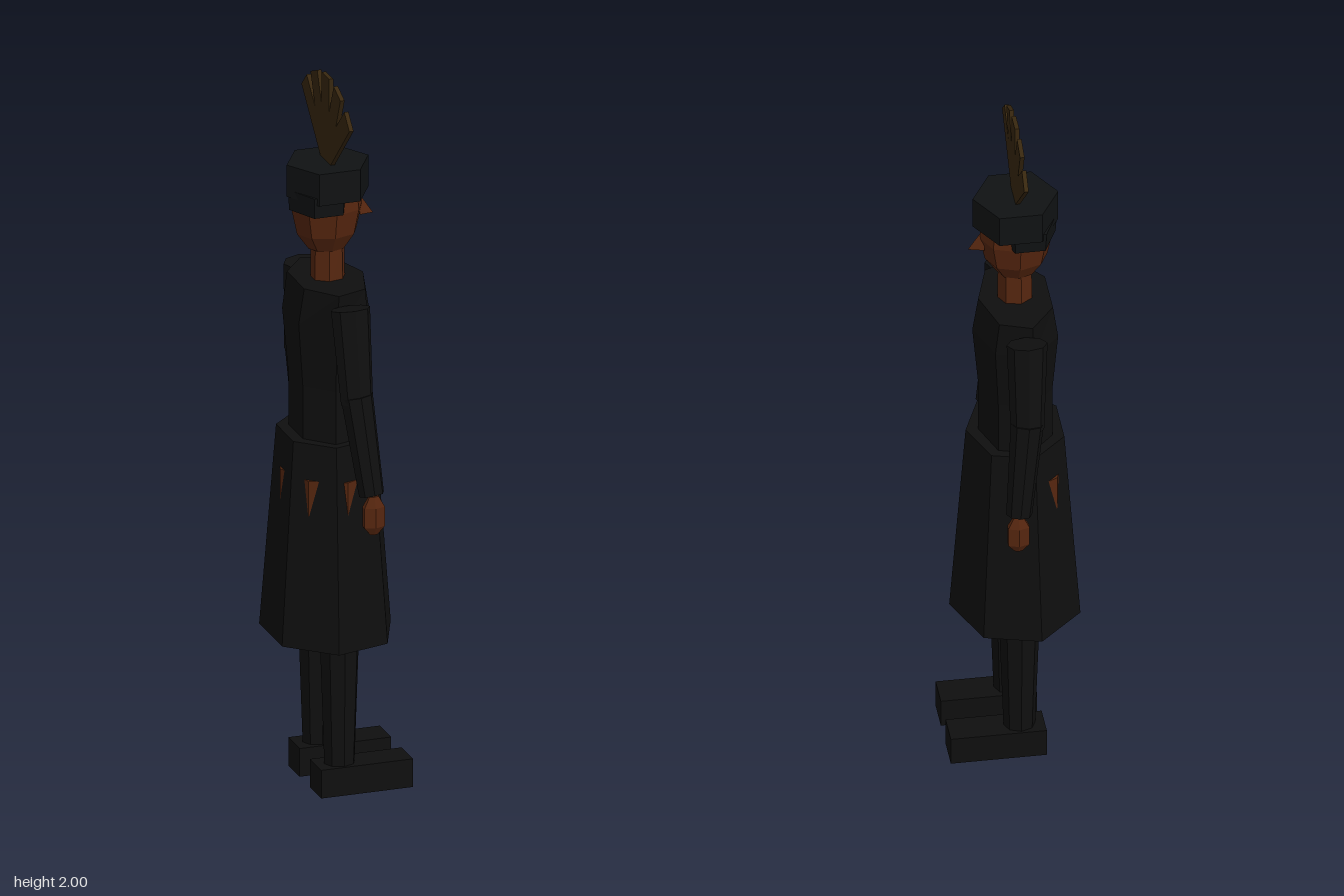
import * as THREE from 'three';

const mat = (name, color) => {
  const m = new THREE.MeshStandardMaterial({ color, flatShading: true });
  m.name = name;
  return m;
};

export function createModel() {
  const group = new THREE.Group();
  const black = mat('blackCloth', 0x0f0f0f);
  const hatBlack = mat('hatBlack', 0x101213);
  const skin = mat('skin', 0x56260f);
  const plume = mat('plumeBrown', 0x38270f);
  const CX = -0.018;

  const add = (name, geo, material, x = 0, y = 0, z = 0) => {
    const m = new THREE.Mesh(geo, material);
    m.name = name;
    m.position.set(x, y, z);
    group.add(m);
    return m;
  };

  // Upright prism from y0 to y1 with a corner towards +x; a and b are the x and z radii
  const prism = (name, material, sides, y0, y1, [a0, b0], [a1, b1], x = CX, z = 0) => {
    const g = new THREE.CylinderGeometry(1, 1, y1 - y0, sides, 1, false, Math.PI / 2);
    const p = g.attributes.position;
    for (let i = 0; i < p.count; i++) {
      const top = p.getY(i) > 0;
      p.setX(i, p.getX(i) * (top ? a1 : a0));
      p.setZ(i, p.getZ(i) * (top ? b1 : b0));
    }
    g.computeVertexNormals();
    return add(name, g, material, x, (y0 + y1) / 2, z);
  };

  // Tapered limb between two points, wider along x than z
  const limb = (name, from, to, r0, r1, flat) => {
    const a = new THREE.Vector3(...from), b = new THREE.Vector3(...to);
    const dir = a.clone().sub(b);
    const g = new THREE.CylinderGeometry(r0, r1, dir.length(), 8);
    g.scale(1, 1, flat);
    const m = add(name, g, black);
    m.position.copy(a).add(b).multiplyScalar(0.5);
    m.quaternion.setFromUnitVectors(new THREE.Vector3(0, 1, 0), dir.normalize());
  };

  // Coat
  prism('coatSkirt', black, 7, 0.43, 1.0, [0.178, 0.21], [0.134, 0.159]);
  prism('coatWaist', black, 7, 0.98, 1.15, [0.1, 0.133], [0.1, 0.133]);
  prism('coatChest', black, 7, 1.15, 1.33, [0.1, 0.133], [0.116, 0.152]);
  prism('coatShoulders', black, 7, 1.33, 1.43, [0.116, 0.152], [0.1, 0.159]);
  // Inner layer whose corners show through the skirt
  prism('hips', skin, 8, 0.8, 0.9, [0.134, 0.163], [0.134, 0.163]);

  // Legs, shoes, arms and hands
  for (const s of [1, -1]) {
    prism('leg', black, 8, 0.06, 0.46, [0.042, 0.038], [0.056, 0.047], -0.015, s * 0.086);
    add('shoe', new THREE.BoxGeometry(0.258, 0.08, 0.09), black, 0.047, 0.04, s * 0.086);
    limb('upperArm', [-0.02, 1.405, s * 0.188], [-0.015, 1.15, s * 0.226], 0.055, 0.045, 0.7);
    limb('forearm', [-0.015, 1.17, s * 0.224], [0.013, 0.9, s * 0.262], 0.045, 0.035, 0.82);
    const hand = new THREE.LatheGeometry(
      [[0, -0.055], [0.012, -0.053], [0.033, -0.03], [0.033, 0.025], [0.015, 0.055], [0, 0.055]]
        .map(([r, y]) => new THREE.Vector2(r, y)), 6);
    hand.scale(1, 1, 0.55);
    add('hand', hand, skin, 0.016, 0.842, s * 0.27);
  }

  // Neck and head
  prism('neck', skin, 7, 1.4, 1.54, [0.048, 0.043], [0.046, 0.041], -0.017);
  const head = new THREE.LatheGeometry(
    [[0, 1.51], [0.052, 1.515], [0.084, 1.56], [0.099, 1.63], [0.092, 1.7], [0, 1.73]]
      .map(([r, y]) => new THREE.Vector2(r, y)), 8);
  head.scale(1, 1, 0.82);
  add('head', head, skin, -0.02);

  // Nose: a small wedge with its tip forwards and down
  const t = [0.06, 1.67, 0], l = [0.068, 1.6, 0.018], r = [0.068, 1.6, -0.018], n = [0.11, 1.595, 0];
  const nose = new THREE.BufferGeometry();
  nose.setAttribute('position', new THREE.Float32BufferAttribute(
    [t, l, n, t, n, r, l, r, n, t, r, l].flat(), 3));
  nose.computeVertexNormals();
  add('nose', nose, skin);

  // Hair behind the face, and the hat
  prism('hair', hatBlack, 6, 1.632, 1.69, [0.081, 0.1], [0.085, 0.107], -0.045);
  prism('hat', hatBlack, 6, 1.67, 1.76, [0.115, 0.113], [0.115, 0.113]);

  // Fan of flat plumes
  for (let i = -2; i <= 2; i++) {
    const g = new THREE.BoxGeometry(0.012, 0.24, 0.058);
    g.translate(0, 0.12, 0);
    const m = add('plume', g, plume, CX, 1.76, 0);
    m.rotation.x = i * Math.PI / 8;
  }
  return group;
}
